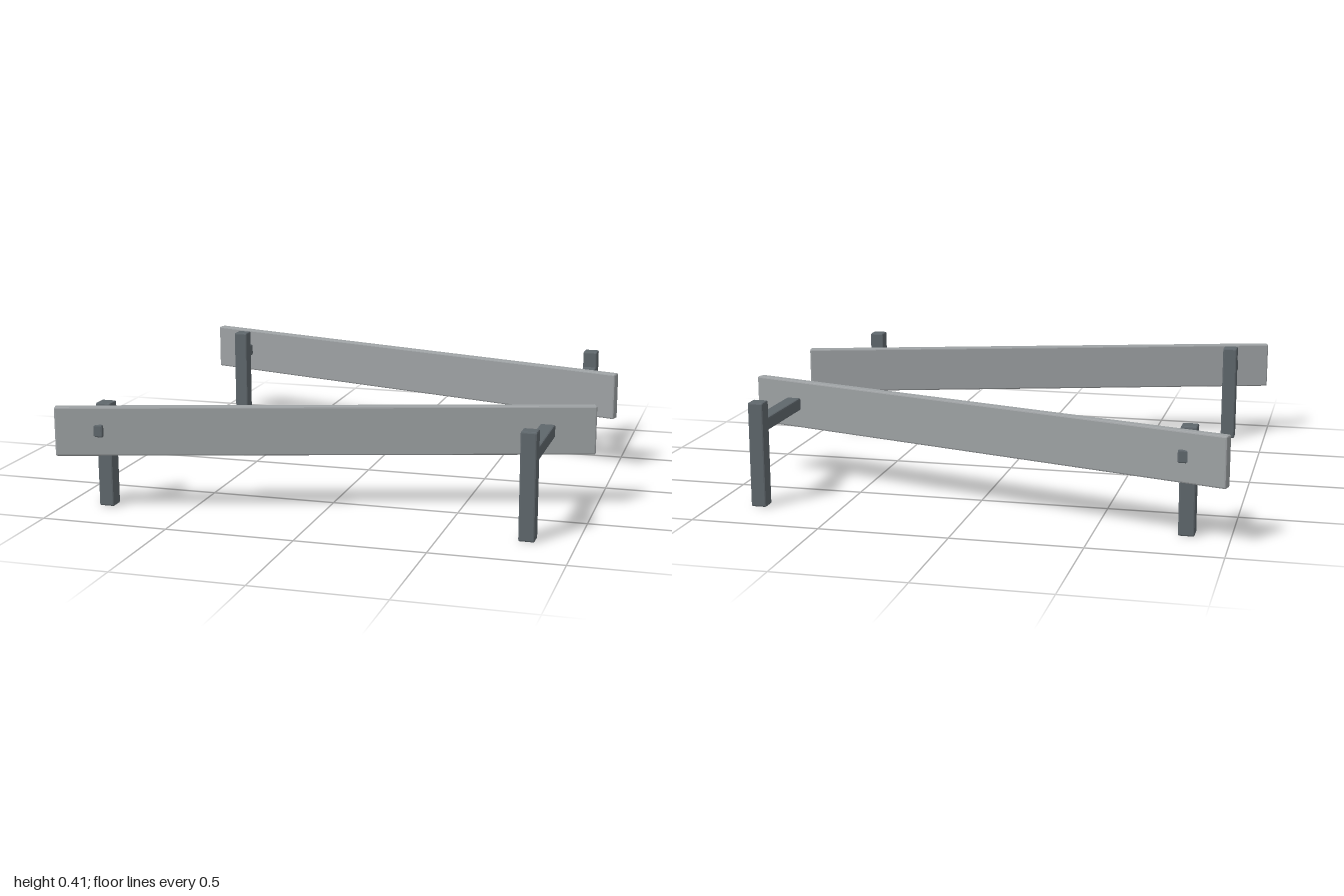
import * as THREE from 'three';
import { RoundedBoxGeometry } from 'three/addons/geometries/RoundedBoxGeometry.js';

const boardMetal = new THREE.MeshStandardMaterial({ color: 0x9ea2a4 });
boardMetal.name = 'light grey board';
const postMetal = new THREE.MeshStandardMaterial({ color: 0x5f676c });
postMetal.name = 'dark grey post';

// Box with narrow, flat-shaded bevelled edges
function bevelledBox(name, w, h, d, bevel, material, x, y, z) {
  const geometry = new RoundedBoxGeometry(w, h, d, 1, bevel);
  geometry.computeVertexNormals();
  const mesh = new THREE.Mesh(geometry, material);
  mesh.name = name;
  mesh.position.set(x, y, z);
  return mesh;
}

// One slanted barrier; side is +1 at the front and -1 at the back
function createBarrier(side) {
  const barrier = new THREE.Group();
  barrier.name = side > 0 ? 'frontBarrier' : 'backBarrier';

  const board = bevelledBox('board', 2.07, 0.192, 0.04, 0.006, boardMetal, 0, 0.316, side * 0.59);
  board.rotation.y = side * 0.288;
  barrier.add(board);

  // Post and arm at each end; the arm reaches from the post to the board
  const postZ = 0.755;
  for (const [label, x, armEnd] of [['right', -0.838, 0.861], ['left', 0.819, 0.374]]) {
    barrier.add(bevelledBox(label + 'Post', 0.061, 0.412, 0.061, 0.006, postMetal, x, 0.206, side * postZ));
    const length = Math.abs(armEnd - postZ);
    barrier.add(bevelledBox(label + 'Arm', 0.059, 0.05, length, 0.006, postMetal,
      x, 0.319, side * (armEnd + postZ) / 2));
  }
  return barrier;
}

export function createModel() {
  const model = new THREE.Group();
  model.name = 'funnelBarriers';
  model.add(createBarrier(1), createBarrier(-1));
  return model;
}
